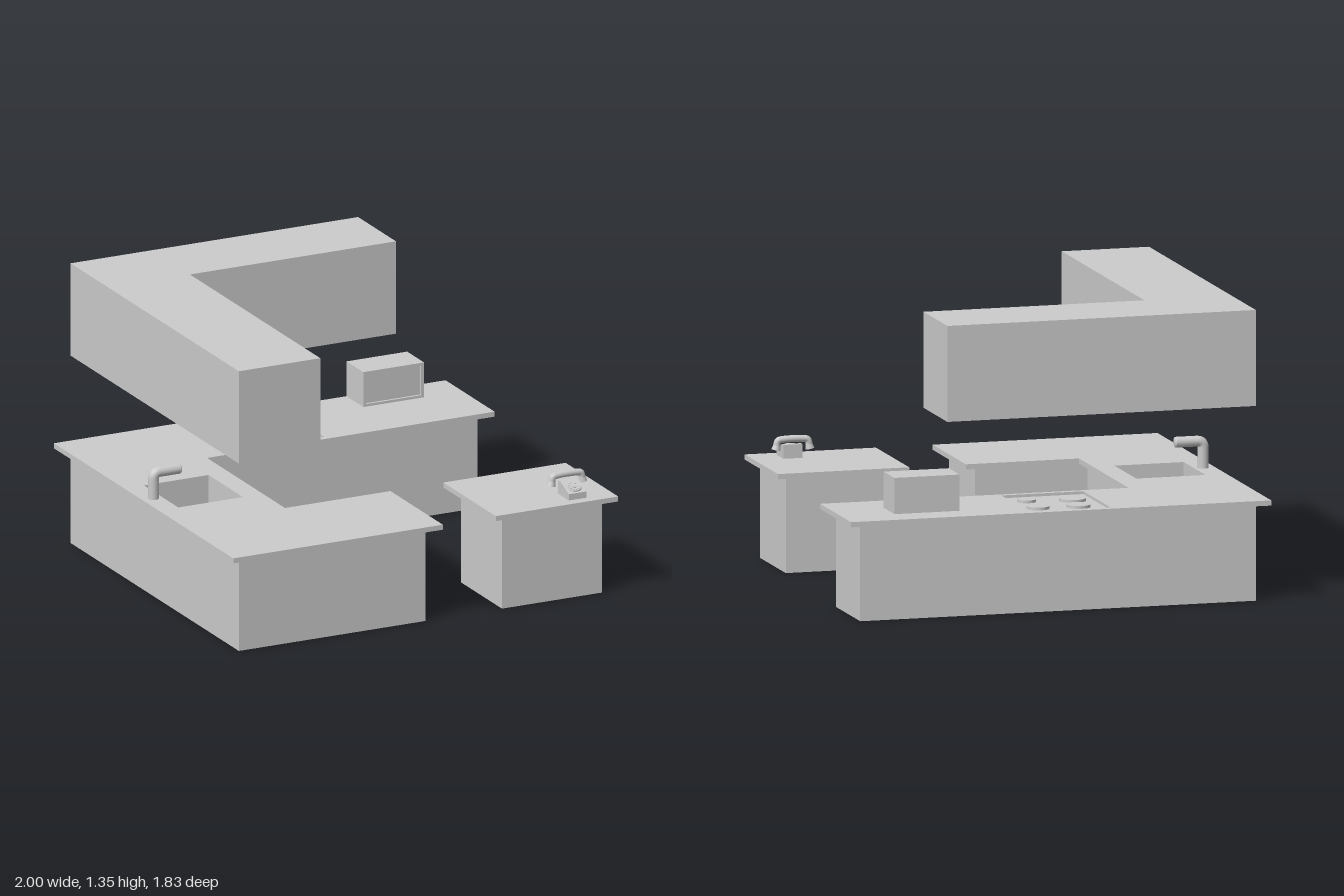
import * as THREE from 'three';

const grey = new THREE.MeshStandardMaterial({ color: 0xcccccc });
const inward = new THREE.MeshStandardMaterial({ color: 0xcccccc, side: THREE.BackSide });

function add(parent, name, geometry, x = 0, y = 0, z = 0, material = grey) {
  const mesh = new THREE.Mesh(geometry, material);
  mesh.name = name;
  mesh.position.set(x, y, z);
  parent.add(mesh);
  return mesh;
}

// Shape from [x, z] plan points; plan(...) is later laid flat
const outline = (pts) => new THREE.Shape(pts.map(([x, z]) => new THREE.Vector2(x, -z)));
const rect = (x0, x1, z0, z1) => [[x0, z0], [x0, z1], [x1, z1], [x1, z0]];

// Prism along z; open = true leaves off the far cap
function prism(shape, depth, open = false) {
  const g = new THREE.ExtrudeGeometry(shape, { depth, bevelEnabled: false });
  if (!open) return g;
  const p = g.attributes.position, keep = [];
  for (let i = 0; i < p.count; i += 3) {
    const isCap = [0, 1, 2].every((k) => p.getZ(i + k) > depth - 1e-5);
    if (!isCap) keep.push(i, i + 1, i + 2);
  }
  g.clearGroups();
  g.setIndex(keep);
  return g;
}

// Plan shape raised from y0 to y1
const slab = (shape, y0, y1, open) =>
  prism(shape, y1 - y0, open).rotateX(-Math.PI / 2).translate(0, y0, 0);

function box(parent, name, x0, x1, y0, y1, z0, z1) {
  return add(parent, name, new THREE.BoxGeometry(x1 - x0, y1 - y0, z1 - z0),
    (x0 + x1) / 2, (y0 + y1) / 2, (z0 + z1) / 2);
}

const TOP = 0.472, UNDER = 0.448;

function createCounter() {
  const g = new THREE.Group();
  g.name = 'counter';
  const sink = rect(-0.9, -0.57, -0.195, 0.155);
  const hob = rect(-0.245, 0.145, -0.886, -0.443);

  // U-shaped base cabinets, open under the worktop
  const base = outline([[-0.943, -0.858], [-0.943, 0.858], [0.01, 0.858], [0.01, 0.44],
    [-0.527, 0.44], [-0.527, -0.47], [0.94, -0.47], [0.94, -0.858]]);
  add(g, 'baseCabinets', slab(base, 0, UNDER, true));

  // U-shaped worktop with cut-outs for sink and hob
  const top = outline([[-1, -0.915], [-1, 0.915], [0.07, 0.915], [0.07, 0.38],
    [-0.468, 0.38], [-0.468, -0.415], [1, -0.415], [1, -0.915]]);
  top.holes.push(outline(sink), outline(hob));
  add(g, 'worktop', slab(top, UNDER, TOP));
  add(g, 'sinkBasin', slab(outline(sink), 0.33, UNDER, true), 0, 0, 0, inward);

  // Sunken hob with four burners
  box(g, 'hobPlate', -0.245, 0.145, UNDER + 0.001, 0.459, -0.886, -0.443);
  for (const [x, z, r] of [[-0.13, -0.755, 0.055], [0.06, -0.745, 0.052],
    [-0.15, -0.59, 0.062], [0.06, -0.56, 0.044]]) {
    add(g, 'burner', new THREE.CylinderGeometry(r, r, 0.014, 32), x, 0.465, z);
  }
  return g;
}

function createFaucet() {
  const g = new THREE.Group();
  g.name = 'faucet';
  const v = (x, y) => new THREE.Vector3(x, y, 0);
  const path = new THREE.CurvePath();
  path.add(new THREE.LineCurve3(v(0, 0), v(0, 0.095)));
  path.add(new THREE.QuadraticBezierCurve3(v(0, 0.095), v(0, 0.125), v(0.03, 0.125)));
  path.add(new THREE.LineCurve3(v(0.03, 0.125), v(0.13, 0.125)));
  add(g, 'spout', new THREE.TubeGeometry(path, 40, 0.025, 20));
  add(g, 'spoutTip', new THREE.SphereGeometry(0.025, 20, 12), 0.13, 0.125, 0).scale.x = 0.4;
  g.position.set(-0.943, TOP, -0.012);
  return g;
}

function createMicrowave() {
  const g = new THREE.Group();
  g.name = 'microwave';
  const xy = (x0, x1, y0, y1) => new THREE.Shape([[x0, y0], [x1, y0], [x1, y1], [x0, y1]]
    .map(([x, y]) => new THREE.Vector2(x, y)));
  const door = xy(0.487, 0.765, 0.502, 0.645);
  const face = xy(0.47, 0.78, 0.49, 0.658);
  add(g, 'microwaveBody', prism(face, 0.172, true), 0, 0, -0.867);
  const frame = face.clone();
  frame.holes.push(door);
  add(g, 'microwaveFrame', new THREE.ShapeGeometry(frame), 0, 0, -0.695);
  add(g, 'microwaveDoor', prism(door, 0.012, true), 0, 0, -0.707, inward);
  return g;
}

function createTelephone() {
  const g = new THREE.Group();
  g.name = 'telephone';

  // Wedge body: side profile [z, y], extruded across x
  const side = new THREE.Shape([[-0.055, 0], [0.055, 0], [0.055, 0.03], [-0.03, 0.064], [-0.055, 0.064]]
    .map(([z, y]) => new THREE.Vector2(-z, y)).reverse());
  add(g, 'phoneBody', prism(side, 0.09).translate(0, 0, -0.045).rotateY(Math.PI / 2));

  // Rotary dial on the slope
  const dial = new THREE.Group();
  dial.name = 'dial';
  add(dial, 'dialDisc', new THREE.CylinderGeometry(0.034, 0.036, 0.006, 28), 0, 0.003, 0);
  add(dial, 'dialHub', new THREE.CylinderGeometry(0.012, 0.012, 0.004, 16), 0, 0.008, 0);
  for (let i = 0; i < 10; i++) {
    const a = 0.4 + i * 0.55;
    add(dial, 'fingerStop', new THREE.CylinderGeometry(0.005, 0.005, 0.002, 10),
      0.025 * Math.cos(a), 0.007, 0.025 * Math.sin(a));
  }
  dial.position.set(0, 0.046, 0.014);
  dial.rotation.x = Math.atan2(0.034, 0.085);
  g.add(dial);

  // Handset resting along the back, with flared ends
  const points = [[-0.078, 0.062], [-0.07, 0.085], [-0.045, 0.09], [0.045, 0.09], [0.07, 0.085], [0.078, 0.062]]
    .map(([x, y]) => new THREE.Vector3(x, y, -0.055));
  add(g, 'handsetGrip', new THREE.TubeGeometry(new THREE.CatmullRomCurve3(points), 40, 0.016, 14));
  for (const s of [-1, 1]) {
    const cup = add(g, 'handsetCup', new THREE.CylinderGeometry(0.015, 0.021, 0.026, 20),
      s * 0.078, 0.056, -0.055);
    cup.rotation.z = s * 0.2;
  }
  g.position.set(0.783, TOP, 0.81);
  return g;
}

export function createModel() {
  const model = new THREE.Group();
  model.name = 'kitchen';
  model.add(createCounter(), createFaucet(), createMicrowave(), createTelephone());

  // Separate island
  box(model, 'islandCabinet', 0.4, 0.91, 0, UNDER, 0.44, 0.858);
  box(model, 'islandWorktop', 0.34, 0.965, UNDER, TOP, 0.38, 0.915);

  // L-shaped wall cabinets
  const wall = outline([[-0.943, -0.858], [-0.943, 0.858], [-0.527, 0.858], [-0.527, -0.472],
    [0.525, -0.472], [0.525, -0.858]]);
  add(model, 'wallCabinets', slab(wall, 0.903, 1.348));
  return model;
}
